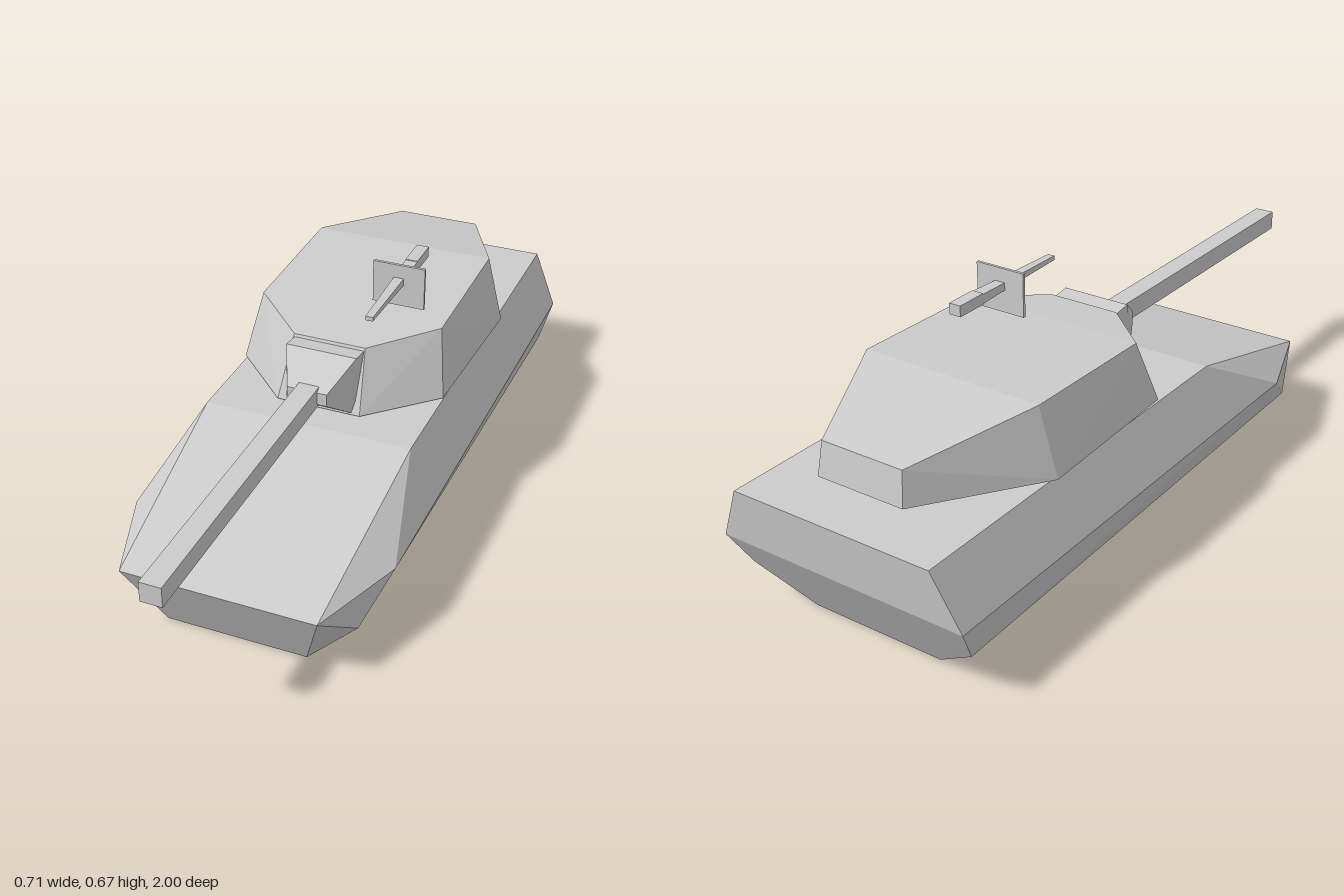
import * as THREE from 'three';
import { ConvexGeometry } from 'three/addons/geometries/ConvexGeometry.js';

const material = new THREE.MeshStandardMaterial({ color: 0xcccccc, flatShading: true });

function part(name, geometry, x = 0, y = 0, z = 0) {
  const mesh = new THREE.Mesh(geometry, material);
  mesh.name = name;
  mesh.position.set(x, y, z);
  return mesh;
}

// Faceted solid from the corners of its +x half, mirrored to -x
function mirroredSolid(corners) {
  return new ConvexGeometry(corners.flatMap(([x, y, z]) => [
    new THREE.Vector3(x, y, z), new THREE.Vector3(-x, y, z)]));
}

// Tapered bar along z: each station is [z, half width, half height]
const taperedBar = (...stations) => mirroredSolid(
  stations.flatMap(([z, w, h]) => [[w, h, z], [w, -h, z]]));

export function createModel() {
  const tank = new THREE.Group();
  tank.name = 'tank';

  // Hull: deck, widest line, lower side line, belly
  tank.add(part('hull', mirroredSolid([
    [0.286, 0.357, 0.155], [0.286, 0.357, -1],
    [0.26, 0.205, 0.705], [0.355, 0.205, 0.44], [0.355, 0.205, -0.98],
    [0.31, 0.105, 0.57], [0.33, 0.105, -0.923],
    [0.19, 0, 0.605], [0.19, 0, -0.865],
  ])));

  const turret = new THREE.Group();
  turret.name = 'turret';
  tank.add(turret);

  // Turret body: roof corners, then base corners, front to back
  turret.add(part('turretBody', mirroredSolid([
    [0.1, 0.525, 0], [0.257, 0.539, -0.15], [0.257, 0.547, -0.56], [0.118, 0.485, -0.876],
    [0.116, 0.365, 0.078], [0.288, 0.365, -0.09], [0.305, 0.365, -0.555], [0.125, 0.395, -0.89],
  ])));

  // Gun mantlet: rear section, shoulder, narrow front
  turret.add(part('mantlet', mirroredSolid([
    [0.098, 0.517, 0], [0.098, 0.361, 0], [0.098, 0.361, 0.06],
    [0.098, 0.525, 0.057], [0.098, 0.415, 0.062], [0.09, 0.373, 0.082],
    [0.055, 0.46, 0.152], [0.055, 0.425, 0.152],
  ])));
  turret.add(part('mainGun', new THREE.BoxGeometry(0.056, 0.054, 0.87), 0, 0.443, 0.565));

  // Roof machine gun with its shield
  const roofGun = new THREE.Group();
  roofGun.name = 'roofGun';
  roofGun.position.set(0.115, 0.624, -0.205);
  roofGun.add(part('gunShield', new THREE.BoxGeometry(0.145, 0.12, 0.008), 0, -0.012, 0));
  roofGun.add(part('receiver', taperedBar([-0.187, 0.017, 0.015], [-0.095, 0.017, 0.015])));
  roofGun.add(part('receiverFront', taperedBar([-0.095, 0.017, 0.013], [0, 0.015, 0.01])));
  roofGun.add(part('barrel', taperedBar([0, 0.014, 0.01], [0.22, 0.01, 0.006])));
  turret.add(roofGun);

  return tank;
}
